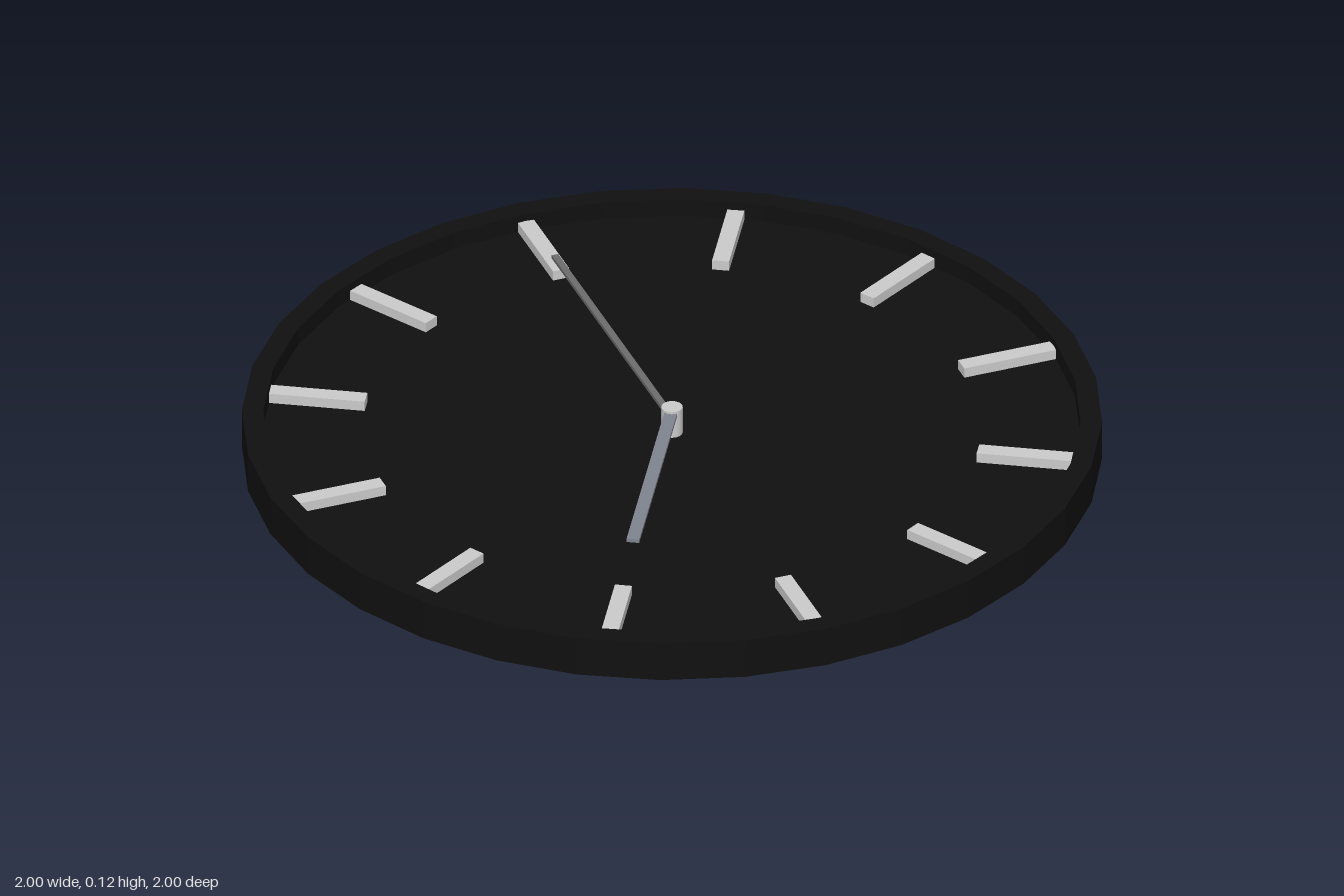
import * as THREE from 'three';

const FLOOR = 0.055; // height of the recessed dial

function add(parent, name, geometry, material) {
  const mesh = new THREE.Mesh(geometry, material);
  mesh.name = name;
  parent.add(mesh);
  return mesh;
}

export function createModel() {
  const clock = new THREE.Group();
  clock.name = 'wallClock';

  const black = new THREE.MeshStandardMaterial({ color: 0x101010, flatShading: true });
  const grey = new THREE.MeshStandardMaterial({ color: 0xcccccc });
  const hourGrey = new THREE.MeshStandardMaterial({ color: 0x80848f });
  const minuteGrey = new THREE.MeshStandardMaterial({ color: 0x6c6c6c });

  // Case: a 32-sided disc with a thin raised rim around the dial
  const profile = [[0, 0], [1, 0], [1, 0.1], [0.95, 0.1], [0.95, FLOOR], [0, FLOOR]]
    .map(([r, y]) => new THREE.Vector2(r, y));
  add(clock, 'case', new THREE.LatheGeometry(profile, 32), black);

  // Twelve hour markers
  const markers = new THREE.Group();
  markers.name = 'hourMarkers';
  clock.add(markers);
  const bar = new THREE.BoxGeometry(0.04, 0.025, 0.23);
  for (let i = 0; i < 12; i++) {
    const a = (i * Math.PI) / 6;
    const marker = add(markers, 'hourMarker', bar, grey);
    marker.position.set(Math.sin(a) * 0.835, FLOOR + 0.0125, -Math.cos(a) * 0.835);
    marker.rotation.y = -a;
  }

  // Centre pin
  const pin = add(clock, 'centrePin', new THREE.CylinderGeometry(0.025, 0.025, 0.125 - FLOOR, 16), grey);
  pin.position.y = (0.125 + FLOOR) / 2;

  // Hands: the hour hand points to seven, above the minute hand at twelve
  const hand = (name, width, length, y, angle, material) => {
    const geometry = new THREE.BoxGeometry(width, 0.009, length);
    geometry.translate(0, 0, -length / 2);
    const mesh = add(clock, name, geometry, material);
    mesh.position.y = y;
    mesh.rotation.y = -angle;
  };
  hand('hourHand', 0.03, 0.58, 0.115, (7 * Math.PI) / 6, hourGrey);
  hand('minuteHand', 0.016, 0.76, 0.094, 0, minuteGrey);

  return clock;
}
